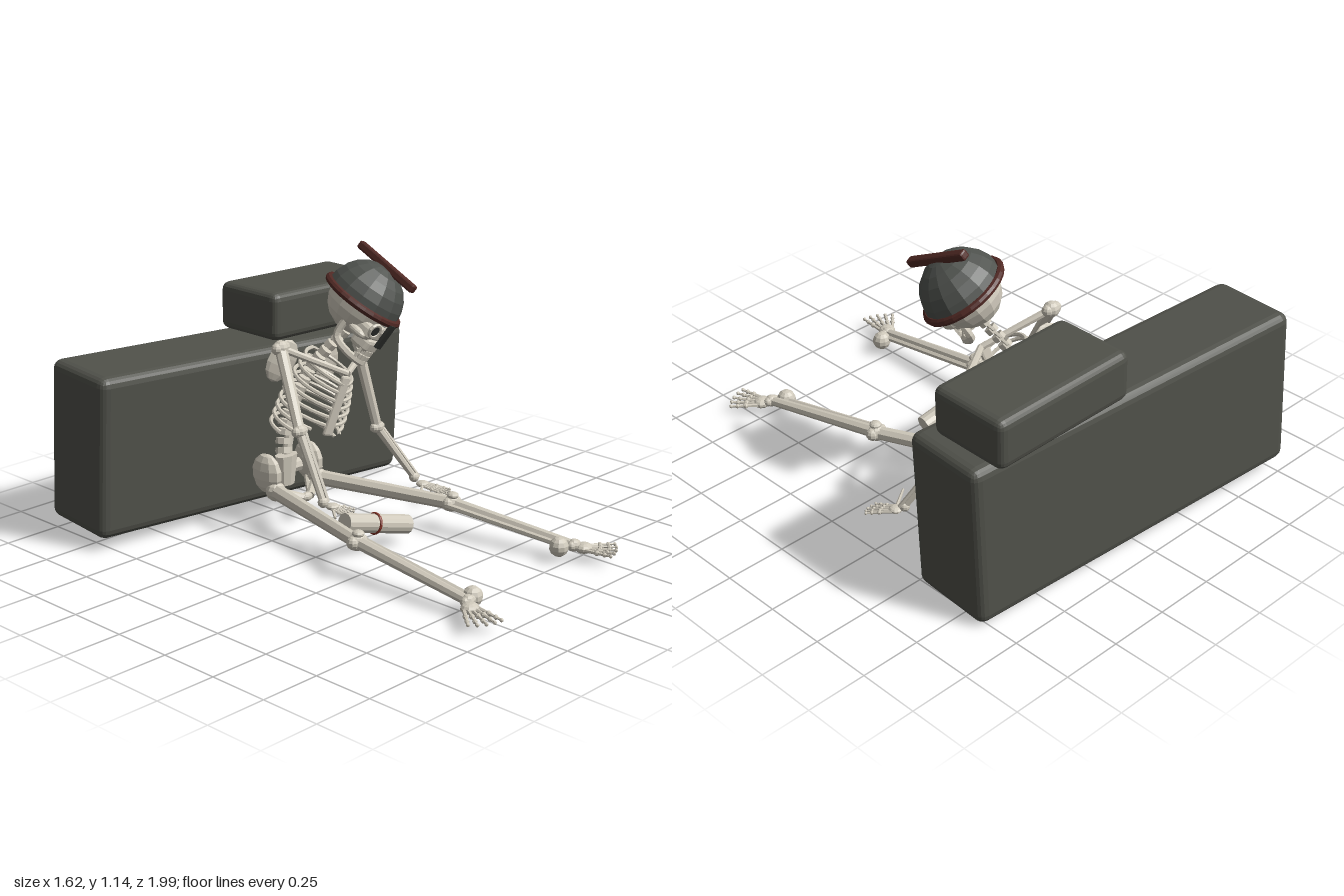
import * as THREE from 'three';
import { RoundedBoxGeometry } from 'three/addons/geometries/RoundedBoxGeometry.js';

const material = (name, color) => {
  const m = new THREE.MeshStandardMaterial({ color });
  m.name = name;
  return m;
};
const V = (x, y, z) => new THREE.Vector3(x, y, z);
const UP = V(0, 1, 0);

export function createModel() {
  const root = new THREE.Group();
  const bone = material('bone', 0xcfc9bb);
  const stone = material('stone', 0x50514a);
  const steel = material('helmet steel', 0x50534f);
  const maroon = material('maroon trim', 0x522a25);
  const red = material('red band', 0x843226);
  const dark = material('dark metal', 0x30322f);

  // Faceted mesh
  function add(parent, name, geo, mat, pos = V(0, 0, 0)) {
    const g = geo.index ? geo.toNonIndexed() : geo;
    g.computeVertexNormals();
    const m = new THREE.Mesh(g, mat);
    m.name = name;
    m.position.copy(pos);
    parent.add(m);
    return m;
  }
  const box = (p, name, w, h, d, mat, pos) => add(p, name, new THREE.BoxGeometry(w, h, d), mat, pos);
  function ball(p, name, pos, rx, ry = rx, rz = rx, mat = bone, n = 10) {
    const m = add(p, name, new THREE.SphereGeometry(1, n, Math.ceil(n * 0.7)), mat, pos);
    m.scale.set(rx, ry, rz);
    return m;
  }
  // Tapered rod running from a to b
  function rod(p, name, a, b, ra, rb = ra, mat = bone, n = 8) {
    const d = b.clone().sub(a);
    const m = add(p, name, new THREE.CylinderGeometry(rb, ra, d.length(), n), mat, a.clone().lerp(b, 0.5));
    m.quaternion.setFromUnitVectors(UP, d.normalize());
    return m;
  }
  const tube = (p, name, pts, r, seg = 12) =>
    add(p, name, new THREE.TubeGeometry(new THREE.CatmullRomCurve3(pts), seg, r, 6), bone);
  // Group oriented by an up and a forward direction
  function frame(name, pos, up, fwd) {
    const g = new THREE.Group();
    g.name = name;
    const y = up.clone().normalize();
    const x = y.clone().cross(fwd).normalize();
    g.quaternion.setFromRotationMatrix(new THREE.Matrix4().makeBasis(x, y, x.clone().cross(y)));
    g.position.copy(pos);
    root.add(g);
    return g;
  }

  // Stone blocks
  function block(name, w, h, d, r, pos, rot) {
    const m = add(root, name, new RoundedBoxGeometry(w, h, d, 2, r), stone, pos);
    m.rotation.set(...rot);
  }
  block('largeBlock', 1.58, 0.67, 0.37, 0.04, V(0, 0.363, -0.74), [0.03, -0.087, -0.03]);
  block('smallBlock', 0.65, 0.205, 0.345, 0.035, V(0.418, 0.79, -0.74), [0, -0.012, -0.025]);

  // Spine: vertebra discs with rear spurs
  const spine = new THREE.CatmullRomCurve3([
    V(0, 0.24, -0.43), V(0.02, 0.33, -0.45), V(0.06, 0.46, -0.445),
    V(0.11, 0.6, -0.4), V(0.15, 0.7, -0.335), V(0.19, 0.78, -0.27)]);
  for (let i = 0; i < 17; i++) {
    const t = i / 16, a = spine.getPointAt(t);
    const dir = spine.getTangentAt(t);
    const r = 0.036 - 0.012 * t;
    rod(root, 'vertebra', a.clone().addScaledVector(dir, -0.0125), a.clone().addScaledVector(dir, 0.0125), r);
    rod(root, 'vertebraSpur', a, a.clone().add(V(0, -0.015, -0.05)), 0.009, 0.005, bone, 5);
  }
  rod(root, 'spinalCore', V(0, 0.22, -0.43), V(0.08, 0.5, -0.44), 0.02);

  // Rib cage
  const torso = frame('ribCage', V(0.085, 0.5, -0.33), V(0.3, 0.93, 0.2), V(-0.04, -0.2, 0.98));
  const sternum = add(torso, 'sternum', new RoundedBoxGeometry(0.05, 0.26, 0.02, 1, 0.009), bone, V(0, 0.025, 0.115));
  sternum.rotation.x = -0.06;
  for (const s of [-1, 1]) {
    for (let i = 0; i < 9; i++) {
      const k = i / 8;
      const rx = 0.1 + 0.075 * Math.sin(Math.min(1, k * 1.5) * Math.PI / 2);
      const end = i < 6 ? 0.97 : 0.97 - 0.13 * (i - 5);
      const pts = [];
      for (let j = 0; j <= 8; j++) {
        const t = end * j / 8, a = Math.PI * t;
        pts.push(V(s * rx * Math.sin(a), 0.19 - 0.29 * k - 0.075 * t, -0.115 * Math.cos(a)));
      }
      tube(torso, 'rib', pts, 0.0085, 14);
    }
    const blade = ball(torso, 'shoulderBlade', V(s * 0.14, 0.11, -0.125), 0.07, 0.095, 0.02);
    blade.rotation.y = s * 0.2;
    blade.rotation.z = s * 0.15;
  }

  // Pelvis
  add(root, 'sacrum', new THREE.CylinderGeometry(0.058, 0.042, 0.13, 8), bone, V(0, 0.2, -0.42)).scale.z = 0.6;
  for (const s of [-1, 1]) {
    ball(root, 'hipBlade', V(s * 0.12, 0.215, -0.41), 0.04, 0.085, 0.078);
    rod(root, 'pelvisBridge', V(0, 0.2, -0.44), V(s * 0.12, 0.2, -0.43), 0.03);
    rod(root, 'pubicBar', V(s * 0.12, 0.15, -0.37), V(s * 0.02, 0.11, -0.3), 0.018);
    rod(root, 'sitBone', V(s * 0.11, 0.15, -0.41), V(s * 0.02, 0.105, -0.3), 0.014);
  }
  ball(root, 'pubicJoint', V(0, 0.11, -0.3), 0.028, 0.02, 0.02);

  // Five jointed digits spread between two outer tips
  function digits(name, from, tipA, tipB, r, spread) {
    const across = tipB.clone().sub(tipA).normalize();
    for (let i = 0; i < 5; i++) {
      const k = i / 4;
      const a = from.clone().addScaledVector(across, (k - 0.5) * spread);
      const tip = tipA.clone().lerp(tipB, k);
      tip.addScaledVector(tip.clone().sub(a), 0.12 * Math.sin(k * Math.PI));
      const q = [0, 0.5, 0.78, 1].map((t) => a.clone().lerp(tip, t));
      for (let j = 0; j < 3; j++) {
        rod(root, name, q[j], q[j + 1], r * (1 - j * 0.15), r * (0.8 - j * 0.15), bone, 6);
        ball(root, name + 'Joint', q[j + 1], r * (1.35 - j * 0.2), undefined, undefined, bone, 6);
      }
    }
  }
  // Two joined bones: a thick and a thin one side by side
  function pair(name, a, b, r, side) {
    rod(root, name, a, b, r * 1.15, r * 0.85);
    rod(root, name + 'Thin', a.clone().add(side), b.clone().add(side), r * 0.55, r * 0.5, bone, 6);
  }
  function knob(name, p, r) {
    ball(root, name, p, r);
    for (const s of [-1, 1]) ball(root, name + 'Side', p.clone().add(V(s * r * 0.6, 0, 0)), r * 0.75);
  }

  // Arms
  const collar = V(0.15, 0.625, -0.21);
  const arms = [
    { sh: V(-0.09, 0.755, -0.35), el: V(-0.18, 0.47, -0.155), wr: V(-0.172, 0.2, -0.035),
      palm: V(-0.15, 0.185, -0.005), a: V(-0.145, 0.16, 0.065), b: V(-0.075, 0.165, 0.04), thumb: V(-0.19, 0.16, 0.05) },
    { sh: V(0.37, 0.625, -0.35), el: V(0.435, 0.305, -0.31), wr: V(0.55, 0.075, -0.2),
      palm: V(0.565, 0.05, -0.165), a: V(0.575, 0.025, -0.06), b: V(0.645, 0.025, -0.08), thumb: V(0.435, 0.025, -0.065) }];
  for (const { sh, el, wr, palm, a, b, thumb } of arms) {
    rod(root, 'collarBone', collar, sh, 0.014, 0.016);
    knob('shoulderJoint', sh, 0.033);
    rod(root, 'upperArm', sh, el, 0.026, 0.022);
    knob('elbow', el, 0.028);
    pair('forearm', el, wr, 0.017, V(0.018, 0, 0.01));
    ball(root, 'wrist', wr, 0.022);
    ball(root, 'palm', palm, 0.028, 0.014, 0.028);
    digits('finger', palm, a, b, 0.0065, 0.04);
    rod(root, 'thumb', palm, thumb, 0.008, 0.005, bone, 6);
  }

  // Legs
  const legs = [
    { s: -1, hip: V(-0.12, 0.15, -0.36), knee: V(-0.28, 0.145, 0.255), ankle: V(-0.275, 0.065, 0.81),
      heel: V(-0.22, 0.06, 0.785), a: V(-0.41, 0.05, 0.925), b: V(-0.295, 0.05, 0.985) },
    { s: 1, hip: V(0.12, 0.15, -0.36), knee: V(0.335, 0.12, 0.2), ankle: V(0.435, 0.06, 0.75),
      heel: V(0.38, 0.06, 0.718), a: V(0.575, 0.05, 0.845), b: V(0.46, 0.05, 0.91) }];
  for (const { s, hip, knee, ankle, heel, a, b } of legs) {
    ball(root, 'hipJoint', hip, 0.042);
    rod(root, 'thighBone', hip, knee, 0.033, 0.028);
    knob('knee', knee, 0.036);
    ball(root, 'kneeCap', knee.clone().add(V(0, 0.035, 0.005)), 0.025, 0.015, 0.025);
    pair('shin', knee, ankle, 0.023, V(-s * 0.036, 0, 0));
    knob('ankle', ankle, 0.026);
    ball(root, 'heel', heel, 0.04);
    const mid = ankle.clone().add(V(s * 0.025, -0.01, 0.03));
    ball(root, 'instep', mid, 0.038, 0.022, 0.035);
    digits('toe', mid, a, b, 0.0085, 0.05);
  }

  // Head: skull
  const head = frame('head', V(0.247, 0.915, -0.215), V(0.41, 0.82, 0.4), V(0, -0.47, 0.88));
  ball(head, 'cranium', V(0, -0.01, -0.005), 0.132, 0.135, 0.14, bone, 14);
  add(head, 'cheekBlock', new RoundedBoxGeometry(0.15, 0.07, 0.1, 1, 0.02), bone, V(0, -0.075, 0.1));
  add(head, 'upperJaw', new RoundedBoxGeometry(0.095, 0.06, 0.09, 1, 0.016), bone, V(0, -0.125, 0.12));
  for (const s of [-1, 1]) {
    const rim = add(head, 'eyeRim', new THREE.TorusGeometry(0.028, 0.008, 6, 12), bone, V(s * 0.042, -0.055, 0.15));
    rim.rotation.y = s * 0.15;
    const eye = add(head, 'eyeSocket', new THREE.CylinderGeometry(0.027, 0.027, 0.006, 12), dark, V(s * 0.042, -0.055, 0.15));
    eye.rotation.set(Math.PI / 2, 0, -s * 0.15);
    ball(head, 'cheekBone', V(s * 0.075, -0.095, 0.1), 0.02, 0.018, 0.045);
  }
  // Jaw and teeth
  tube(head, 'jaw', [V(-0.08, -0.08, 0.03), V(-0.078, -0.165, 0.04), V(-0.06, -0.19, 0.11), V(0, -0.198, 0.16),
    V(0.06, -0.19, 0.11), V(0.078, -0.165, 0.04), V(0.08, -0.08, 0.03)], 0.016, 28);
  for (let i = 0; i < 8; i++) {
    const a = (i - 3.5) * 0.27;
    const x = 0.055 * Math.sin(a), z = 0.112 + 0.055 * Math.cos(a);
    for (const y of [-0.152, -0.176]) box(head, 'tooth', 0.012, 0.02, 0.01, bone, V(x, y, z)).rotation.y = a;
  }

  // Helmet: dome, rim, crest and nose guard
  const domeMat = steel;
  add(head, 'helmetDome', new THREE.SphereGeometry(0.166, 14, 6, 0, Math.PI * 2, 0, Math.PI / 2), domeMat);
  const under = add(head, 'helmetUnderside', new THREE.CircleGeometry(0.166, 14), domeMat);
  under.rotation.x = Math.PI / 2;
  const rim = add(head, 'helmetRim', new THREE.TorusGeometry(0.166, 0.016, 8, 28), maroon);
  rim.rotation.x = Math.PI / 2;
  add(head, 'helmetCrest', new RoundedBoxGeometry(0.036, 0.035, 0.325, 1, 0.008), maroon, V(0, 0.168, 0));
  box(head, 'noseGuard', 0.036, 0.11, 0.014, dark, V(0, -0.055, 0.18));

  // Rolled scroll with a tie
  const s0 = V(-0.205, 0.163, 0.115), s1 = V(0.12, 0.076, 0.15);
  rod(root, 'scroll', s0, s1, 0.039, 0.039, bone, 14);
  const tie = add(root, 'scrollBand', new THREE.TorusGeometry(0.04, 0.006, 6, 16), red, s0.clone().lerp(s1, 0.47));
  tie.quaternion.setFromUnitVectors(V(0, 0, 1), s1.clone().sub(s0).normalize());
  return root;
}
